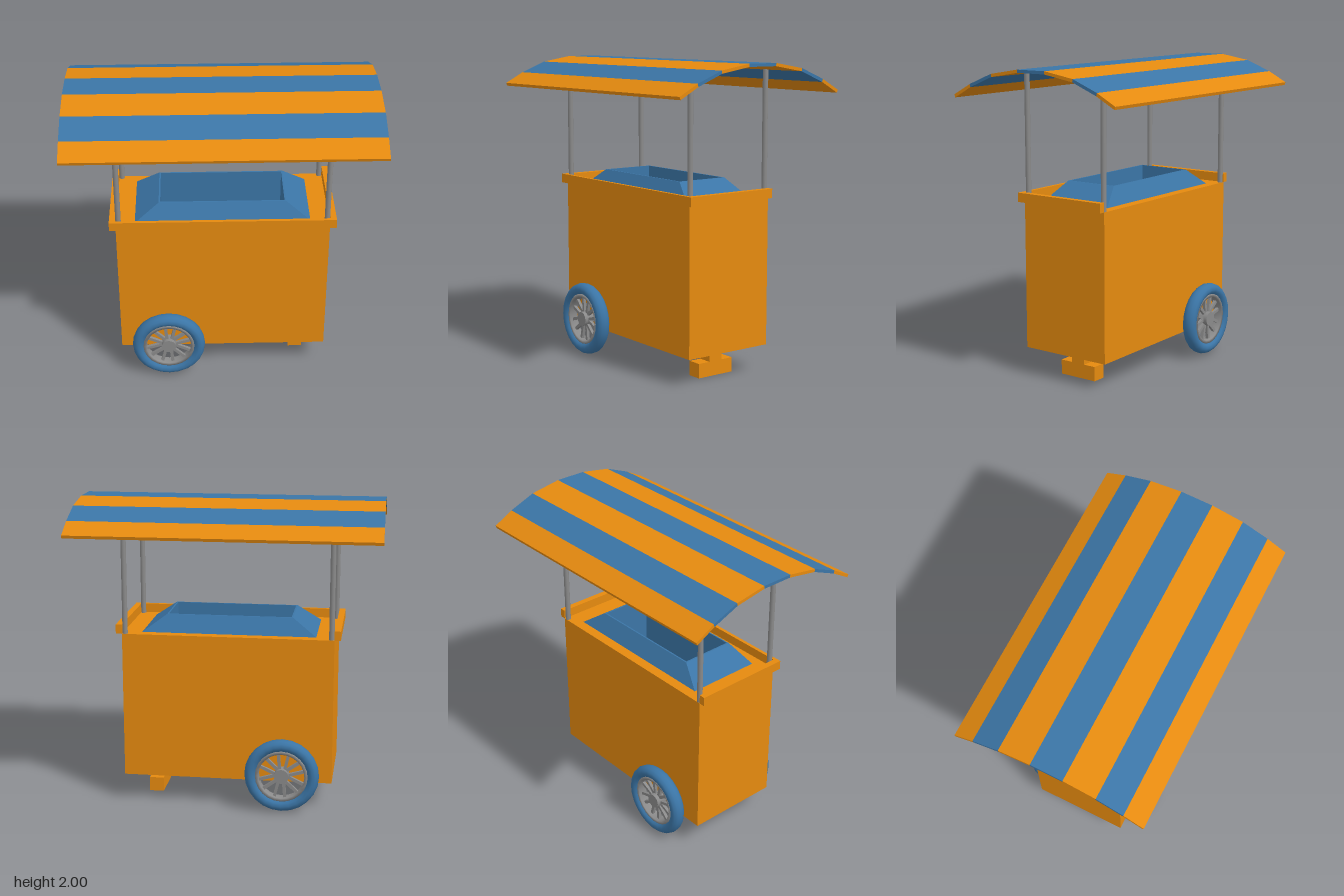
import * as THREE from 'three';

const orange = new THREE.MeshStandardMaterial({ color: 0xe58a0f });
orange.name = 'orange paint';
const blue = new THREE.MeshStandardMaterial({ color: 0x3b75a6 });
blue.name = 'blue paint';
const grey = new THREE.MeshStandardMaterial({ color: 0x8a8a8a });
grey.name = 'grey metal';

function add(parent, name, geometry, material, x = 0, y = 0, z = 0) {
  const mesh = new THREE.Mesh(geometry, material);
  mesh.name = name;
  mesh.position.set(x, y, z);
  parent.add(mesh);
  return mesh;
}

// Box given by its minimum and maximum on each axis
function box(parent, name, material, x0, x1, y0, y1, z0, z1) {
  return add(parent, name, new THREE.BoxGeometry(x1 - x0, y1 - y0, z1 - z0), material,
    (x0 + x1) / 2, (y0 + y1) / 2, (z0 + z1) / 2);
}

// Faceted skin through rectangular sections [halfX, y, halfZ]
function rectLoft(sections) {
  const signs = [[1, 1], [1, -1], [-1, -1], [-1, 1]];
  const rings = sections.map(([x, y, z]) => signs.map(([a, b]) => [a * x, y, b * z]));
  const points = [];
  for (let i = 0; i < rings.length - 1; i++) {
    for (let j = 0; j < 4; j++) {
      const k = (j + 1) % 4;
      const a = rings[i][j], b = rings[i][k], c = rings[i + 1][k], d = rings[i + 1][j];
      points.push(...a, ...b, ...c, ...a, ...c, ...d);
    }
  }
  const geometry = new THREE.BufferGeometry();
  geometry.setAttribute('position', new THREE.Float32BufferAttribute(points, 3));
  geometry.computeVertexNormals();
  return geometry;
}

function rectPoints(x, z) {
  return [[-x, -z], [x, -z], [x, z], [-x, z]].map(p => new THREE.Vector2(...p));
}

// Spoked wheel facing along z
function makeWheel(name) {
  const wheel = new THREE.Group();
  wheel.name = name;
  const tyre = new THREE.TorusGeometry(0.203, 0.04, 12, 24);
  tyre.scale(1, 1, 1.18);
  add(wheel, 'tyre', tyre, blue);

  const profile = [[0.15, -0.03], [0.171, -0.03], [0.171, 0.03], [0.15, 0.03], [0.15, -0.03]];
  const rim = new THREE.LatheGeometry(profile.map(p => new THREE.Vector2(...p)), 24);
  rim.rotateX(Math.PI / 2);
  add(wheel, 'rim', rim, grey);

  const hub = new THREE.CylinderGeometry(0.048, 0.048, 0.07, 20);
  hub.rotateX(Math.PI / 2);
  add(wheel, 'hub', hub, grey);

  const spokes = new THREE.Group();
  spokes.name = 'spokes';
  wheel.add(spokes);
  for (let i = 0; i < 12; i++) {
    const arm = new THREE.Group();
    arm.name = 'spokeArm';
    arm.rotation.z = (i + 0.35) * Math.PI / 6;
    const spoke = add(arm, 'spoke', new THREE.BoxGeometry(0.02, 0.125, 0.02), grey, 0, 0.1, 0);
    spoke.rotation.z = i % 2 ? 0.1 : -0.1;
    spokes.add(arm);
  }
  return wheel;
}

export function createModel() {
  const cart = new THREE.Group();
  cart.name = 'vendingCart';

  // Cabinet with an opening for the well
  const plan = new THREE.Shape(rectPoints(0.685, 0.315));
  plan.holes.push(new THREE.Path(rectPoints(0.43, 0.2)));
  const shell = new THREE.ExtrudeGeometry(plan, { depth: 0.94, bevelEnabled: false });
  shell.rotateX(-Math.PI / 2);
  add(cart, 'cabinet', shell, orange, 0, 0.2, 0);
  box(cart, 'cabinetBottom', orange, -0.685, 0.685, 0.18, 0.2, -0.315, 0.315);

  // Raised lip on the front and both ends
  box(cart, 'frontLip', orange, -0.725, 0.725, 1.14, 1.2, 0.315, 0.337);
  for (const s of [-1, 1]) {
    box(cart, s > 0 ? 'leftLip' : 'rightLip', orange,
      s * 0.705 - 0.02, s * 0.705 + 0.02, 1.14, 1.2, -0.315, 0.315);
  }

  // Sloped collar leading into a deep open well
  add(cart, 'well', rectLoft([
    [0.565, 1.14, 0.247], [0.41, 1.25, 0.182], [0.4, 1.25, 0.172],
    [0.4, 0.55, 0.172], [0, 0.55, 0],
  ]), blue);

  // Support leg
  box(cart, 'legStem', orange, 0.46, 0.555, 0.095, 0.18, -0.05, 0.05);
  box(cart, 'legFoot', orange, 0.46, 0.555, 0, 0.095, -0.135, 0.135);

  // Wheels and axle
  for (const s of [-1, 1]) {
    const wheel = makeWheel(s > 0 ? 'frontWheel' : 'backWheel');
    wheel.position.set(-0.365, 0.249, s * 0.387);
    if (s < 0) wheel.rotation.y = Math.PI;
    cart.add(wheel);
  }
  const axle = new THREE.CylinderGeometry(0.018, 0.018, 0.74, 12);
  axle.rotateX(Math.PI / 2);
  add(cart, 'axle', axle, grey, -0.365, 0.249, 0);

  // Canopy posts
  for (const x of [-0.667, 0.667]) {
    for (const z of [-0.298, 0.298]) {
      add(cart, 'canopyPost', new THREE.CylinderGeometry(0.0175, 0.0175, 0.81, 12), grey, x, 1.545, z);
    }
  }

  // Curved canopy of seven flat stripes
  const half = [[0.105, 2], [0.315, 1.965], [0.49, 1.895], [0.62, 1.825]];
  const arc = [...half.map(([z, y]) => [-z, y]).reverse(), ...half];
  const under = arc.map(([z, y]) => [z * 0.99, y - 0.019]);
  for (let i = 0; i < 7; i++) {
    const section = new THREE.Shape([under[i], under[i + 1], arc[i + 1], arc[i]]
      .map(p => new THREE.Vector2(...p)));
    const stripe = new THREE.ExtrudeGeometry(section, { depth: 1.96, bevelEnabled: false });
    stripe.rotateY(-Math.PI / 2);
    add(cart, 'canopyStripe', stripe, i % 2 ? blue : orange, 0.98, 0, 0);
  }
  return cart;
}
